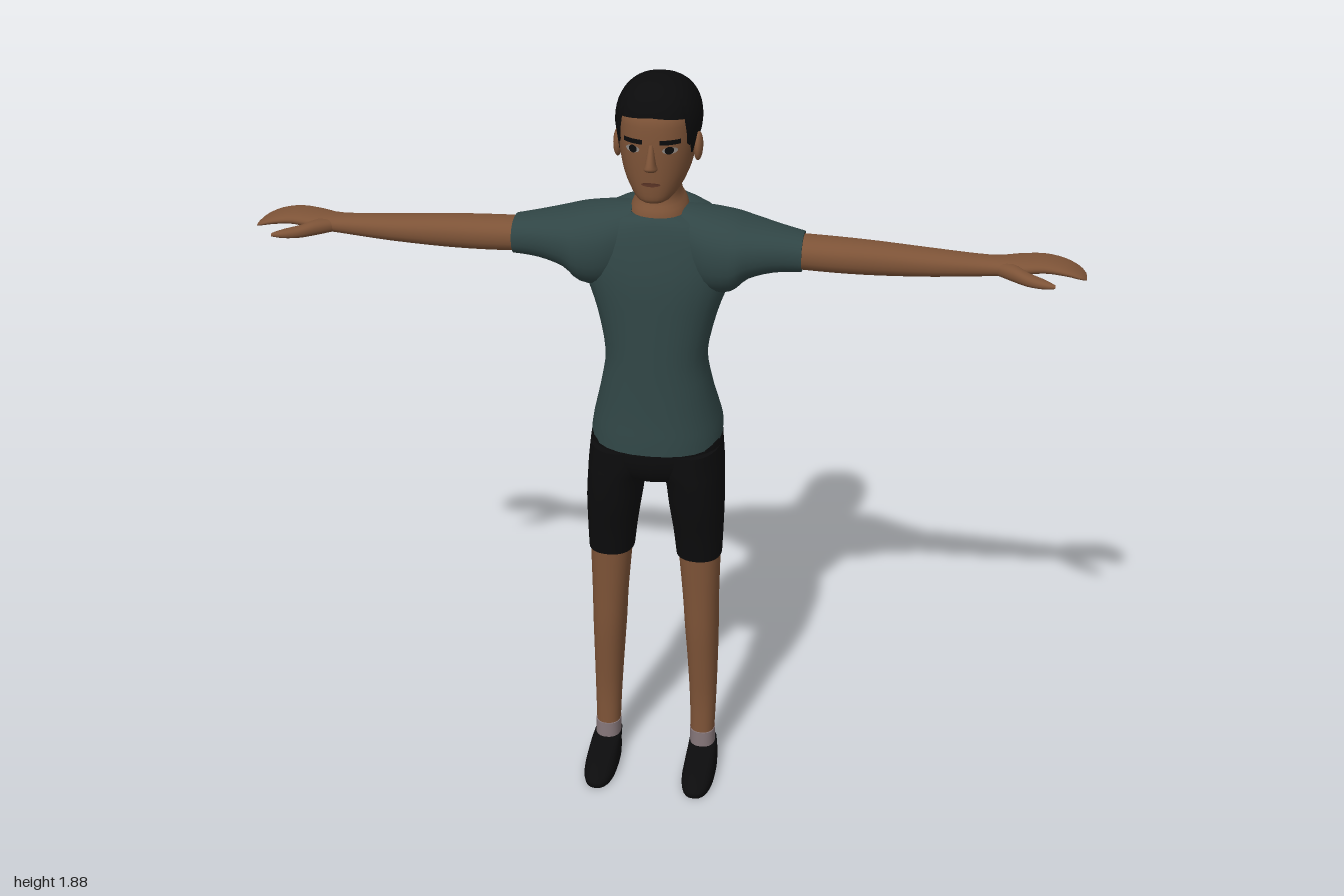
import * as THREE from 'three';

const mat = (name, color, side = THREE.FrontSide) => {
  const m = new THREE.MeshStandardMaterial({ color, side });
  m.name = name;
  return m;
};

// Loft through oval sections. Row: [height, xLow, xHigh, zBack, zFront, riseAtBack]
const STEPS = 3, SIDES = 28, POW = 0.88;
const spow = (v, p) => Math.sign(v) * Math.abs(v) ** p;
const spline = (a, b, c, d, t) =>
  0.5 * (2 * b + (c - a) * t + (2 * a - 5 * b + 4 * c - d) * t * t + (3 * b - a - 3 * c + d) * t ** 3);

function smoothRows(rows) {
  const at = i => rows[Math.min(Math.max(i, 0), rows.length - 1)];
  const out = [];
  for (let i = 0; i < rows.length - 1; i++) {
    for (let s = 0; s < STEPS; s++) {
      out.push([0, 1, 2, 3, 4, 5].map(k =>
        spline(at(i - 1)[k] ?? 0, at(i)[k] ?? 0, at(i + 1)[k] ?? 0, at(i + 2)[k] ?? 0, s / STEPS)));
    }
  }
  out.push(at(rows.length - 1));
  return out;
}

function loft(rows, p = POW) {
  const pos = [], index = [], secs = smoothRows(rows);
  const ring = ([h, x0, x1, z0, z1, rise = 0]) => {
    const start = pos.length / 3;
    for (let j = 0; j < SIDES; j++) {
      const a = j / SIDES * Math.PI * 2;
      const c = spow(Math.cos(a), p);
      pos.push((x0 + x1) / 2 + (x1 - x0) / 2 * spow(Math.sin(a), p),
        h + rise * ((1 - c) / 2) ** 2, (z0 + z1) / 2 + (z1 - z0) / 2 * c);
    }
    return start;
  };
  const starts = secs.map(ring);
  for (let i = 0; i < starts.length - 1; i++) {
    for (let j = 0; j < SIDES; j++) {
      const k = (j + 1) % SIDES, a = starts[i], b = starts[i + 1];
      index.push(a + j, a + k, b + k, a + j, b + k, b + j);
    }
  }
  // end caps with their own vertices, so the rim stays crisp
  [secs[0], secs[secs.length - 1]].forEach((s, top) => {
    const r = ring(s), c = pos.length / 3;
    pos.push((s[1] + s[2]) / 2, s[0] + (s[5] ?? 0) * 0.25, (s[3] + s[4]) / 2);
    for (let j = 0; j < SIDES; j++) {
      const k = (j + 1) % SIDES;
      index.push(c, ...(top ? [r + j, r + k] : [r + k, r + j]));
    }
  });
  return finish(pos, index);
}

function finish(pos, index) {
  const g = new THREE.BufferGeometry();
  g.setAttribute('position', new THREE.Float32BufferAttribute(pos, 3));
  g.setIndex(index);
  g.computeVertexNormals();
  return g;
}

// Row for a body section that is symmetric about x = 0
const sym = (y, rx, zb, zf, rise = 0) => [y, -rx, rx, zb, zf, rise];
// Sideways loft. Row: [x, yLow, yHigh, zBack, zFront]
const limb = rows => loft(rows.map(([x, y0, y1, z0, z1]) => [x, -y1, -y0, z0, z1])).rotateZ(-Math.PI / 2);

function mirrored(geo) {
  const g = geo.clone().scale(-1, 1, 1), idx = g.index.array;
  for (let i = 0; i < idx.length; i += 3) [idx[i], idx[i + 1]] = [idx[i + 1], idx[i]];
  return g;
}

const HEAD = [
  sym(1.597, 0.022, -0.03, 0.035, 0.05), sym(1.605, 0.044, -0.08, 0.052, 0.055),
  sym(1.63, 0.064, -0.125, 0.057, 0.04), sym(1.67, 0.079, -0.138, 0.059, 0.01),
  sym(1.72, 0.089, -0.15, 0.06), sym(1.77, 0.093, -0.163, 0.058),
  sym(1.805, 0.092, -0.163, 0.05), sym(1.84, 0.072, -0.135, 0.018), sym(1.862, 0.03, -0.09, -0.03)];

// Height of the face surface at a point
function faceZ(x, y) {
  const i = Math.max(0, HEAD.findIndex(r => r[0] > y) - 1), a = HEAD[i], b = HEAD[i + 1];
  const [, , rx, zb, zf] = a.map((v, k) => THREE.MathUtils.lerp(v, b[k], (y - a[0]) / (b[0] - a[0])));
  const s = Math.min(1, Math.abs(x) / rx) ** (1 / POW);
  return (zb + zf) / 2 + (zf - zb) / 2 * Math.sqrt(1 - s * s) ** POW;
}

// Thin plate bent onto the face
function facePatch(x, y, w, h, lift, round = false) {
  const g = round ? new THREE.CircleGeometry(0.5, 16) : new THREE.PlaneGeometry(1, 1, 6, 2);
  g.scale(w, h, 1).translate(x, y, 0);
  const p = g.attributes.position;
  for (let i = 0; i < p.count; i++) p.setZ(i, faceZ(p.getX(i), p.getY(i)) + lift);
  g.computeVertexNormals();
  return g;
}

// Hair cap whose lower edge follows the forehead, sideburns, ears and nape
const EDGE = [[0, 1.807], [47, 1.8], [51, 1.715], [69, 1.71], [74, 1.755], [100, 1.75], [112, 1.72], [180, 1.712]];
function hairGeometry() {
  const N = 96, M = 14, TOP = 1.877, pos = [], index = [];
  for (let i = 0; i <= M; i++) {
    for (let j = 0; j < N; j++) {
      const a = j / N * Math.PI * 2, deg = Math.min(j, N - j) / N * 360;
      const k = Math.max(1, EDGE.findIndex(e => e[0] >= deg));
      const [d0, y0] = EDGE[k - 1], [d1, y1] = EDGE[k];
      const low = THREE.MathUtils.lerp(y0, y1, (deg - d0) / (d1 - d0));
      const y = low + (TOP - low) * Math.sin(i / M * Math.PI / 2);
      const f = y > 1.77 ? Math.max(0, 1 - ((y - 1.77) / (TOP - 1.77)) ** 2.4) ** (1 / 2.2) : 1 - (1.77 - y) * 1.4;
      pos.push(0.1 * f * spow(Math.sin(a), POW), y, -0.058 + 0.117 * f * spow(Math.cos(a), POW));
    }
  }
  for (let i = 0; i < M; i++) {
    for (let j = 0; j < N; j++) {
      const k = (j + 1) % N, a = i * N, b = a + N;
      index.push(a + j, a + k, b + k, a + j, b + k, b + j);
    }
  }
  return finish(pos, index);
}

export function createModel() {
  const skin = mat('skin', 0x7d5337), shirt = mat('shirt green', 0x304545);
  const black = mat('shorts black', 0x0c0c0d), hair = mat('hair black', 0x0b0b0c, THREE.DoubleSide);
  const sock = mat('sock grey', 0x857679), lip = mat('lip brown', 0x5c3526);
  const white = mat('eye grey', 0x8c8580);
  const model = new THREE.Group();
  model.name = 'standingFigure';
  const add = (name, geo, m) => {
    const mesh = new THREE.Mesh(geo, m);
    mesh.name = name;
    model.add(mesh);
  };
  const pair = (name, geo, m) => {
    add('left' + name, geo, m);
    add('right' + name, mirrored(geo), m);
  };

  // head and neck
  add('head', loft(HEAD), skin);
  add('neck', loft([sym(1.5, 0.08, -0.145, 0.015), sym(1.553, 0.068, -0.143, 0.01, 0.02),
    sym(1.585, 0.053, -0.138, -0.006, 0.01), sym(1.62, 0.05, -0.135, -0.005), sym(1.69, 0.055, -0.14, 0)]), skin);
  add('hair', hairGeometry(), hair);
  add('nose', loft([sym(1.682, 0.012, 0.04, 0.066), sym(1.69, 0.016, 0.04, 0.083),
    sym(1.702, 0.012, 0.04, 0.083), sym(1.745, 0.006, 0.04, 0.062)]), skin);
  pair('Ear', new THREE.SphereGeometry(1, 16, 12).scale(0.011, 0.034, 0.021).rotateX(-0.15).translate(0.094, 1.715, -0.042), skin);

  // face details
  pair('Brow', facePatch(0.043, 1.752, 0.046, 0.011, 0.004), hair);
  pair('EyeWhite', facePatch(0.043, 1.733, 0.034, 0.016, 0.003, true), white);
  pair('Pupil', facePatch(0.042, 1.734, 0.02, 0.018, 0.005, true), hair);
  add('mouth', facePatch(0, 1.651, 0.045, 0.01, 0.004, true), lip);

  // shirt
  add('shirtBody', loft([sym(0.965, 0.163, -0.177, 0.096, 0.06), sym(1.0, 0.16, -0.178, 0.093, 0.04),
    sym(1.05, 0.15, -0.165, 0.087, 0.015), sym(1.12, 0.135, -0.138, 0.081), sym(1.2, 0.124, -0.125, 0.076),
    sym(1.3, 0.144, -0.142, 0.07), sym(1.38, 0.172, -0.16, 0.064), sym(1.44, 0.185, -0.168, 0.054),
    sym(1.5, 0.178, -0.17, 0.038), sym(1.535, 0.135, -0.165, 0.024, 0.012), sym(1.55, 0.071, -0.147, 0.012, 0.024)]), shirt);
  pair('Sleeve', limb([[0.06, 1.4, 1.562, -0.14, 0.02], [0.12, 1.36, 1.557, -0.162, 0.045],
    [0.18, 1.365, 1.549, -0.162, 0.052], [0.22, 1.4, 1.539, -0.15, 0.044],
    [0.28, 1.42, 1.527, -0.122, 0.028], [0.345, 1.425, 1.515, -0.1, 0.013]]), shirt);

  // arms and hands
  pair('Arm', limb([[0.32, 1.431, 1.509, -0.096, 0.008], [0.42, 1.427, 1.506, -0.096, 0.006],
    [0.52, 1.426, 1.501, -0.094, 0], [0.65, 1.43, 1.491, -0.092, -0.009], [0.78, 1.44, 1.483, -0.088, -0.018],
    [0.84, 1.447, 1.484, -0.106, -0.012], [0.9, 1.452, 1.482, -0.12, -0.026], [0.95, 1.448, 1.472, -0.12, -0.03],
    [0.985, 1.441, 1.456, -0.11, -0.038], [1.0, 1.437, 1.444, -0.092, -0.052]]), skin);
  pair('Thumb', limb([[0.79, 1.447, 1.475, -0.06, -0.022], [0.83, 1.445, 1.48, -0.045, 0.012],
    [0.865, 1.446, 1.474, -0.008, 0.036], [0.9, 1.45, 1.47, 0.018, 0.05], [0.926, 1.456, 1.464, 0.04, 0.052]]), skin);

  // shorts
  add('shortsSeat', loft([sym(0.872, 0.07, -0.085, 0.055), sym(0.895, 0.135, -0.13, 0.08),
    sym(0.94, 0.164, -0.156, 0.093), sym(1.0, 0.157, -0.17, 0.088), sym(1.05, 0.13, -0.14, 0.07)]), black);
  pair('ShortsLeg', loft([[0.96, 0.005, 0.163, -0.158, 0.09], [0.91, 0.006, 0.168, -0.148, 0.09],
    [0.87, 0.025, 0.17, -0.132, 0.088], [0.8, 0.035, 0.173, -0.106, 0.08], [0.72, 0.047, 0.172, -0.086, 0.064],
    [0.65, 0.055, 0.17, -0.073, 0.053]].reverse()), black);

  // legs, socks and shoes
  pair('Leg', loft([[0.09, 0.096, 0.158, -0.042, 0.026], [0.2, 0.092, 0.161, -0.054, 0.024],
    [0.32, 0.085, 0.163, -0.067, 0.033], [0.42, 0.078, 0.164, -0.07, 0.041],
    [0.52, 0.072, 0.164, -0.065, 0.044], [0.68, 0.058, 0.167, -0.07, 0.049]]), skin);
  pair('Sock', loft([[0.045, 0.095, 0.161, -0.046, 0.03], [0.105, 0.094, 0.16, -0.045, 0.029]]), sock);
  pair('Shoe', loft([[0, 0.089, 0.172, -0.056, 0.173], [0.018, 0.088, 0.173, -0.056, 0.176],
    [0.036, 0.09, 0.171, -0.056, 0.135], [0.05, 0.092, 0.168, -0.055, 0.085],
    [0.062, 0.093, 0.164, -0.053, 0.034]], 0.8), black);

  return model;
}
